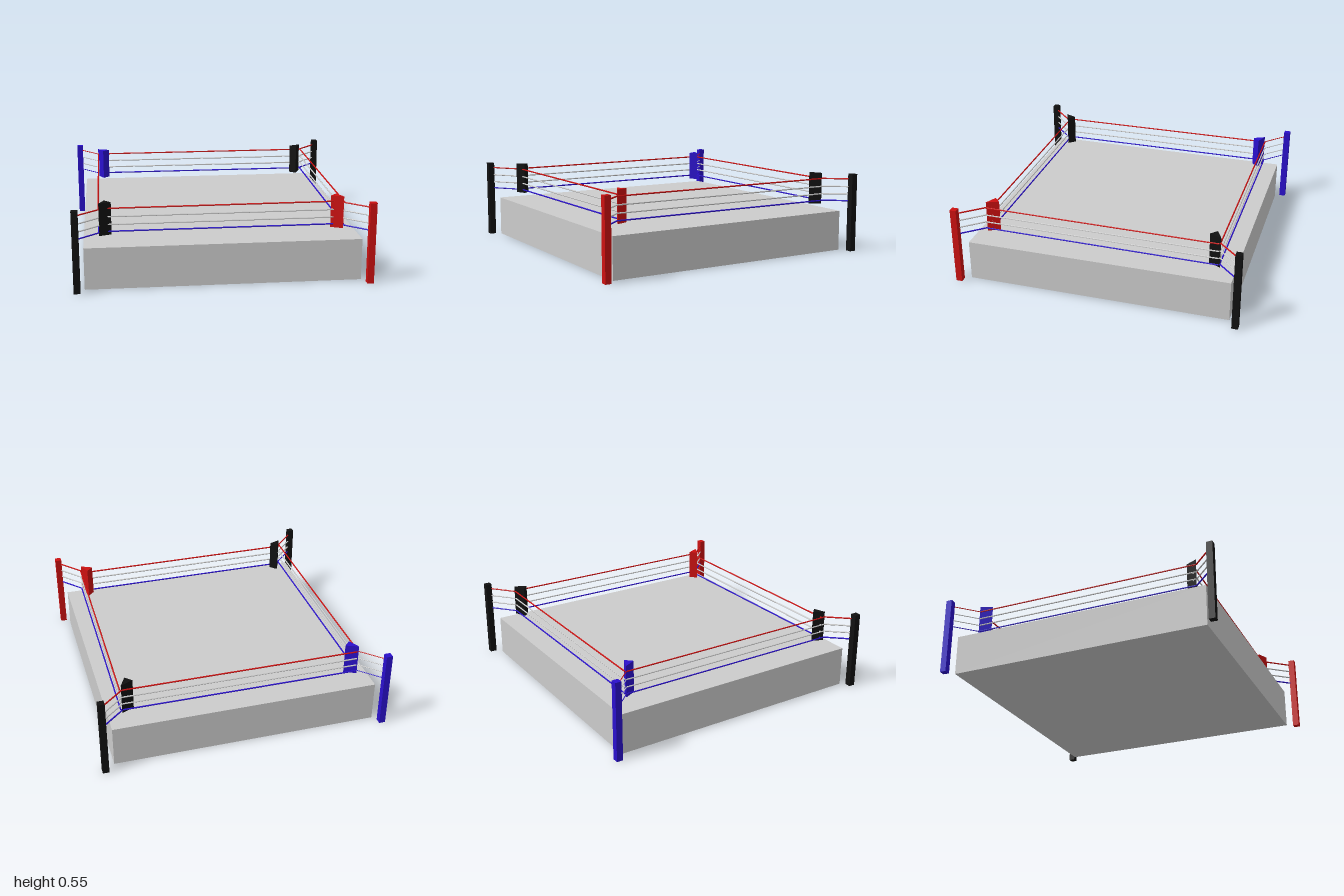
import * as THREE from 'three';

const paint = (color) => new THREE.MeshStandardMaterial({ color, flatShading: true });
const red = paint(0xcc1111), blue = paint(0x2a10cc), black = paint(0x111111), grey = paint(0xcccccc);

function add(group, name, geometry, material) {
  const mesh = new THREE.Mesh(geometry, material);
  mesh.name = name;
  group.add(mesh);
  return mesh;
}

// Straight six-sided rope between two points
function addRope(group, name, a, b, radius, material) {
  const dir = b.clone().sub(a);
  const rope = add(group, name, new THREE.CylinderGeometry(radius, radius, dir.length(), 6), material);
  rope.position.copy(a).add(b).multiplyScalar(0.5);
  rope.quaternion.setFromUnitVectors(new THREE.Vector3(0, 1, 0), dir.normalize());
}

// Triangular corner cushion, pointed towards its post
function padGeometry(points) {
  const shape = new THREE.Shape(points.map(([x, z]) => new THREE.Vector2(x, -z)));
  const geometry = new THREE.ExtrudeGeometry(shape, { depth: 0.22, bevelEnabled: false });
  return geometry.rotateX(-Math.PI / 2).translate(0, 0.332, 0);
}

export function createModel() {
  const ring = new THREE.Group();
  ring.name = 'ring';

  // Platform
  add(ring, 'platform', new THREE.BoxGeometry(1.84, 0.283, 1.835), grey).position.set(-0.01, 0.1415, -0.007);

  // Posts and corner pads; pad points run from the outer tip inwards
  const corners = [
    { name: 'backRight', color: blue, post: [-0.978, -0.978], pad: [[-0.83, -0.825], [-0.745, -0.79], [-0.79, -0.745]], tie: 0.003 },
    { name: 'backLeft', color: black, post: [0.978, -0.978], pad: [[0.82, -0.83], [0.735, -0.79], [0.78, -0.748]], tie: 0.005 },
    { name: 'frontLeft', color: red, post: [0.954, 0.976], pad: [[0.80, 0.813], [0.72, 0.775], [0.764, 0.73]], tie: 0.005 },
    { name: 'frontRight', color: black, post: [-0.978, 0.965], pad: [[-0.826, 0.813], [-0.745, 0.783], [-0.79, 0.735]], tie: 0.005 },
  ];
  for (const { name, color, post, pad } of corners) {
    add(ring, name + 'Post', new THREE.BoxGeometry(0.044, 0.552, 0.044), color).position.set(post[0], 0.276, post[1]);
    add(ring, name + 'Pad', padGeometry(pad), color);
  }

  // Four rope levels: one span per side, and a tie from each corner to its post
  const levels = [[0.355, blue], [0.403, grey], [0.456, grey], [0.512, red]];
  const spans = [
    ['back', [-0.82, -0.828], [0.825, -0.826]],
    ['left', [0.828, -0.82], [0.806, 0.81]],
    ['front', [0.785, 0.78], [-0.82, 0.788]],
    ['right', [-0.828, 0.81], [-0.828, -0.82]],
  ];
  for (const [y, color] of levels) {
    for (const [side, a, b] of spans) {
      addRope(ring, side + 'Rope', new THREE.Vector3(a[0], y, a[1]), new THREE.Vector3(b[0], y, b[1]), 0.005, color);
    }
    for (const { name, post, pad, tie } of corners) {
      addRope(ring, name + 'Tie', new THREE.Vector3(pad[0][0], y, pad[0][1]),
        new THREE.Vector3(post[0], y + 0.005, post[1]), tie, color);
    }
  }
  return ring;
}
